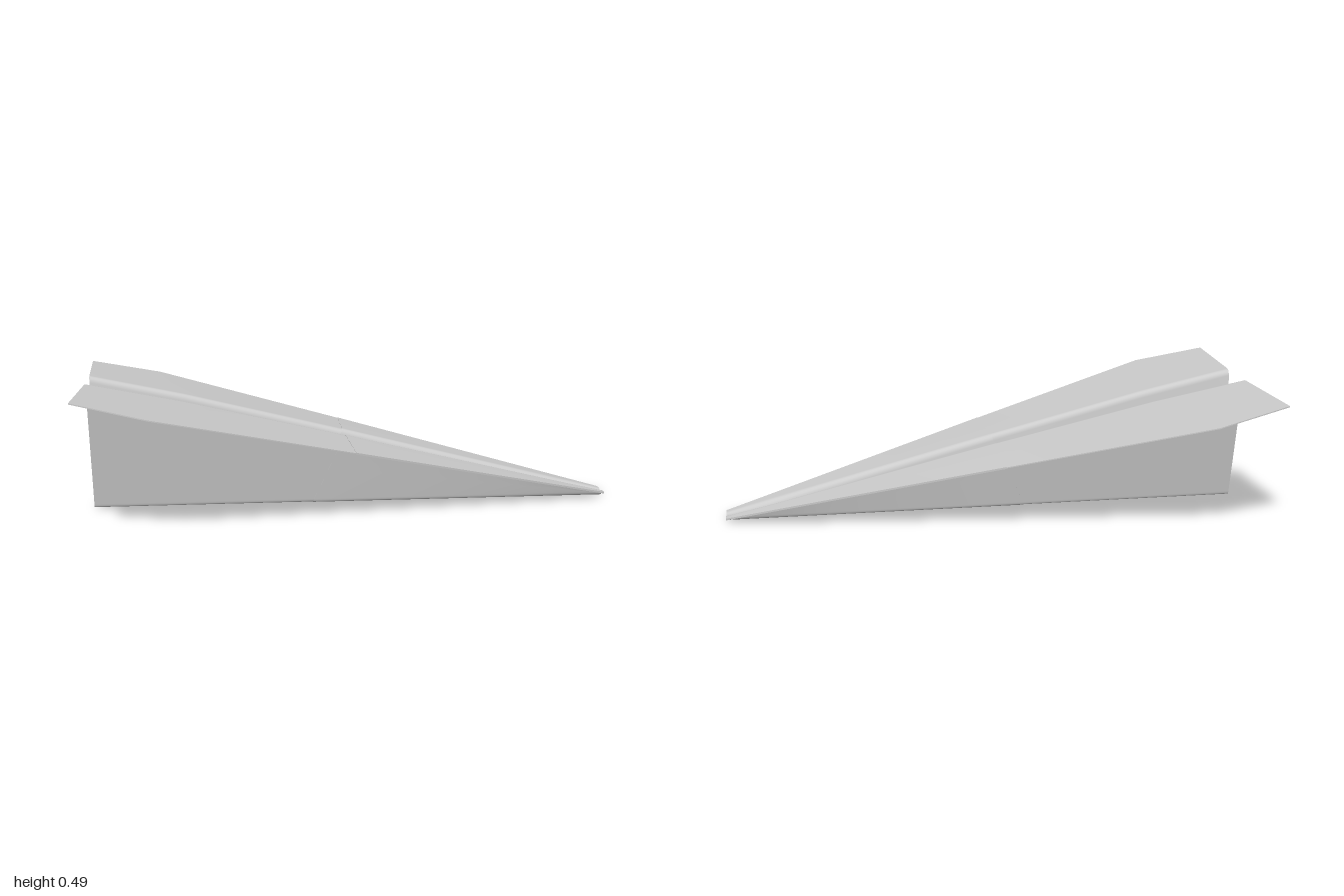
import * as THREE from 'three';

const V = (x, y, z) => new THREE.Vector3(x, y, z);

// Stations from nose to tail: keel edge, wing fold, outer wing edge
const STATIONS = [
  [V(1, 0.004, 0.005), V(1, 0.018, 0.014), V(1, 0.018, 0.05)],
  [V(-0.14, 0.004, 0.007), V(-0.02, 0.271, 0.05), V(-0.01, 0.261, 0.35)],
  [V(-0.69, 0.004, 0.007), V(-0.62, 0.414, 0.072), V(-0.73, 0.432, 0.557)],
  [V(-0.97, 0.004, 0.007), V(-0.98, 0.488, 0.085), V(-1, 0.488, 0.51)],
];

// Rounded corner at b, between the directions of a and c
function corner(a, b, c, size) {
  const toward = (p) => b.clone().lerp(p, Math.min(0.45, size / b.distanceTo(p)));
  return new THREE.QuadraticBezierCurve3(toward(a), b, toward(c)).getPoints(5);
}

// Folded cross-section running from one wing edge, round the keel, to the other
function section([keel, fold, tip]) {
  const centre = V(keel.x, keel.y, 0);
  const half = [
    ...corner(centre, keel, fold, 0.012),
    keel.clone().lerp(fold, 0.5),
    ...corner(keel, fold, tip, 0.022),
    fold.clone().lerp(tip, 0.5),
    tip,
  ];
  const mirrored = half.map((p) => V(p.x, p.y, -p.z)).reverse();
  return [...mirrored, centre, ...half];
}

// Moves a section by d across the paper
function offset(points, d) {
  return points.map((p, i) => {
    const a = points[Math.max(i - 1, 0)];
    const b = points[Math.min(i + 1, points.length - 1)];
    const n = V(0, b.z - a.z, a.y - b.y).normalize();
    return p.clone().addScaledVector(n, d);
  });
}

// Smooth surface through rows of points
function surface(rows, material) {
  const w = rows[0].length;
  const index = [];
  for (let r = 0; r < rows.length - 1; r++) {
    for (let c = 0; c < w - 1; c++) {
      const a = r * w + c, b = a + w;
      index.push(a, a + 1, b, b, a + 1, b + 1);
    }
  }
  const geometry = new THREE.BufferGeometry().setFromPoints(rows.flat());
  geometry.setIndex(index);
  geometry.computeVertexNormals();
  return new THREE.Mesh(geometry, material);
}

// A folded sheet with thickness, between two stations
function sheet(name, first, last, thickness, material) {
  const rows = [];
  const steps = 6;
  for (let s = first; s < last; s++) {
    for (let k = s === first ? 0 : 1; k <= steps; k++) {
      rows.push(section(STATIONS[s].map((p, i) => p.clone().lerp(STATIONS[s + 1][i], k / steps))));
    }
  }
  const upper = rows.map((r) => offset(r, thickness / 2));
  const lower = rows.map((r) => offset(r, -thickness / 2));
  const group = new THREE.Group();
  group.name = name;
  const add = (part, grid) => {
    const mesh = surface(grid, material);
    mesh.name = part;
    group.add(mesh);
  };
  add('upperFace', upper);
  add('lowerFace', lower);
  add('frontRim', [upper[0], lower[0]]);
  add('rearRim', [upper.at(-1), lower.at(-1)]);
  add('backWingEdge', [upper.map((r) => r[0]), lower.map((r) => r[0])]);
  add('frontWingEdge', [upper.map((r) => r.at(-1)), lower.map((r) => r.at(-1))]);
  return group;
}

export function createModel() {
  const model = new THREE.Group();
  model.name = 'paperPlane';
  const paper = new THREE.MeshStandardMaterial({ color: 0xcccccc, side: THREE.DoubleSide });
  // The folded-over nose is thicker, leaving a step at mid-length
  model.add(sheet('noseLayers', 0, 1, 0.007, paper));
  model.add(sheet('tailSheet', 1, 3, 0.004, paper));
  return model;
}
